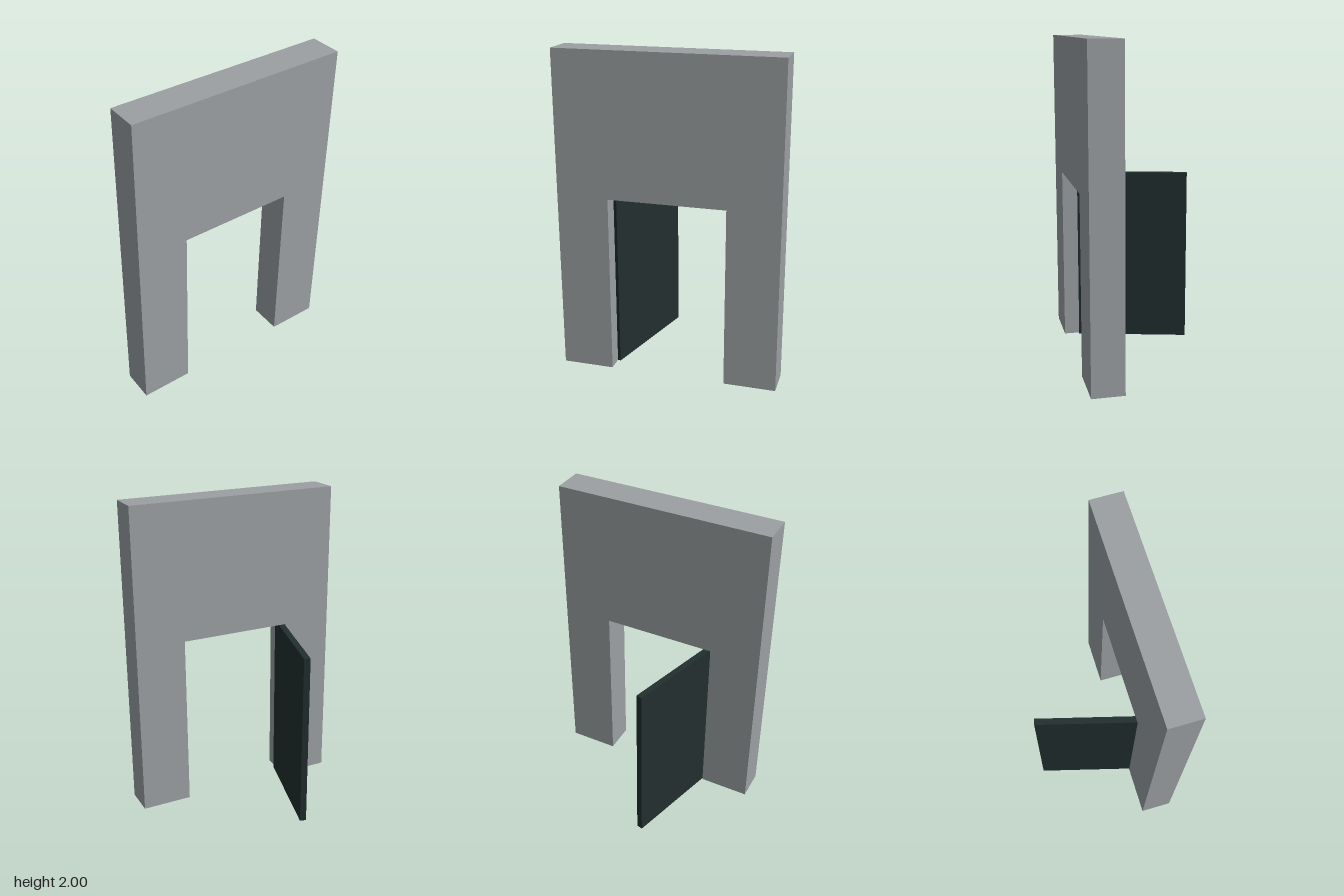
import * as THREE from 'three';

const wallGrey = new THREE.MeshStandardMaterial({ name: 'wallGrey', color: 0x9ba0a3 });
const doorDark = new THREE.MeshStandardMaterial({ name: 'doorDark', color: 0x222e2e });

const HALF_WIDTH = 0.68, HEIGHT = 2, WALL_DEPTH = 0.2, WALL_BACK = 0.2;
const HALF_OPENING = 0.36, OPENING_HEIGHT = 1.12;
const DOOR_THICKNESS = 0.04, DOOR_ANGLE = THREE.MathUtils.degToRad(75);

// Wall panel with a doorway open at the floor
function createWall() {
  const outline = new THREE.Shape([
    [-HALF_WIDTH, 0], [-HALF_OPENING, 0], [-HALF_OPENING, OPENING_HEIGHT],
    [HALF_OPENING, OPENING_HEIGHT], [HALF_OPENING, 0], [HALF_WIDTH, 0],
    [HALF_WIDTH, HEIGHT], [-HALF_WIDTH, HEIGHT],
  ].map(([x, y]) => new THREE.Vector2(x, y)));
  const geometry = new THREE.ExtrudeGeometry(outline, { depth: WALL_DEPTH, bevelEnabled: false });
  const wall = new THREE.Mesh(geometry, wallGrey);
  wall.name = 'wall';
  wall.position.z = WALL_BACK;
  return wall;
}

// Door leaf hinged in the middle of the jamb, swung open to the back
function createDoor() {
  const width = HALF_OPENING * 2;
  const geometry = new THREE.BoxGeometry(width, OPENING_HEIGHT, DOOR_THICKNESS);
  geometry.translate(width / 2, OPENING_HEIGHT / 2, 0);
  const door = new THREE.Mesh(geometry, doorDark);
  door.name = 'door';
  door.position.set(-HALF_OPENING, 0, WALL_BACK + WALL_DEPTH / 2);
  door.rotation.y = DOOR_ANGLE;
  return door;
}

export function createModel() {
  const model = new THREE.Group();
  model.name = 'doorway';
  model.add(createWall(), createDoor());
  return model;
}
